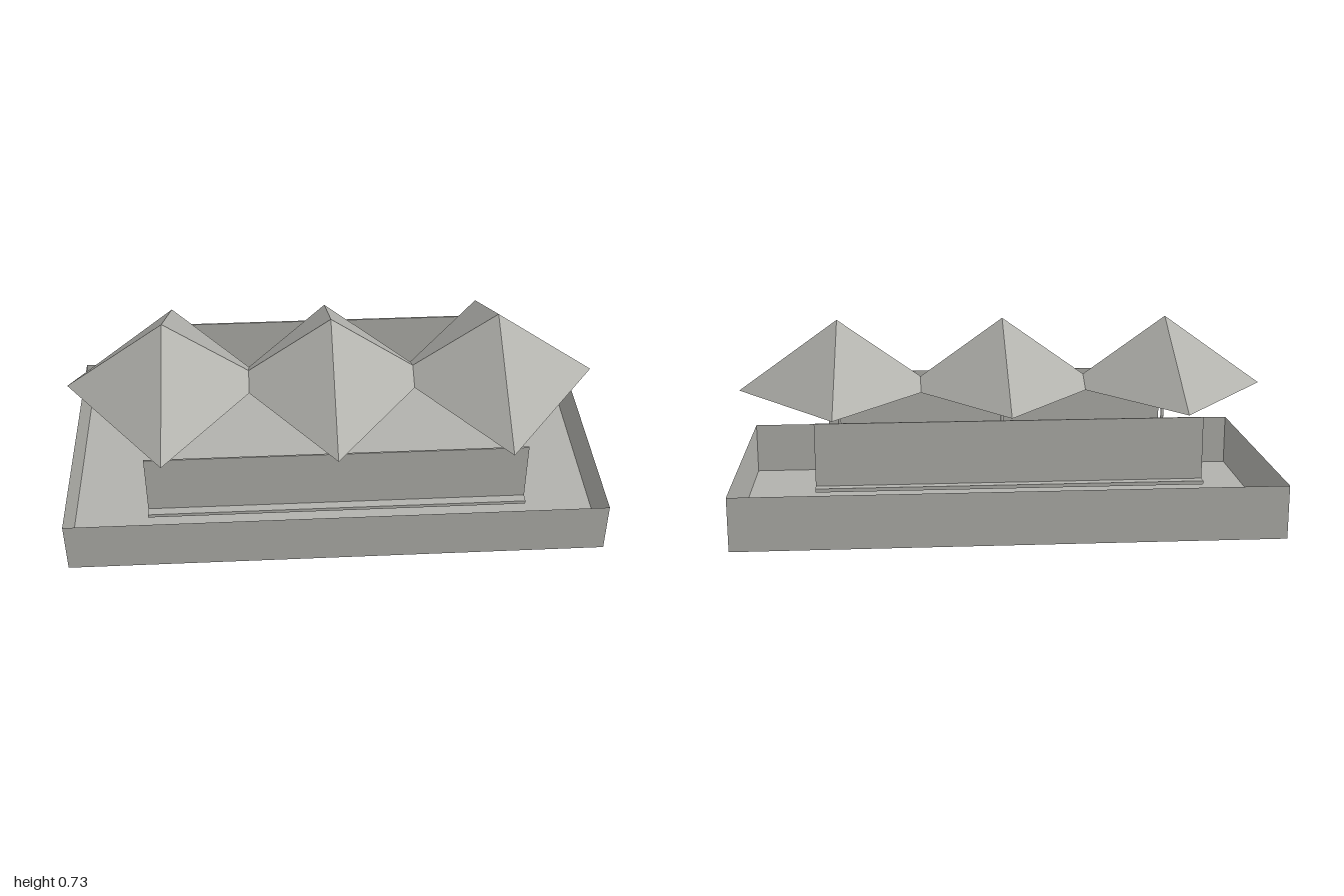
import * as THREE from 'three';

export function createModel() {
  const model = new THREE.Group();
  model.name = 'canopyTerrace';

  const concrete = new THREE.MeshStandardMaterial({ color: 0xb2b2ad, flatShading: true, side: THREE.DoubleSide });
  concrete.name = 'concrete';

  const add = (name, geometry, x, y, z) => {
    const mesh = new THREE.Mesh(geometry, concrete);
    mesh.name = name;
    mesh.position.set(x, y, z);
    model.add(mesh);
    return mesh;
  };

  // Open tray: a thin-walled box without its top face
  const tray = new THREE.BoxGeometry(2, 0.2, 1);
  const top = tray.groups[2];
  tray.setIndex(Array.from(tray.index.array).filter((_, i) => i < top.start || i >= top.start + top.count));
  tray.clearGroups();
  add('baseTray', tray, 0, 0.1, 0);

  // Floor slab level with the tray rim
  add('floorSlab', new THREE.BoxGeometry(1.385, 0.013, 0.922), 0, 0.207, 0);

  // Long thin walls along the front and back
  for (const [name, side] of [['frontWall', 1], ['backWall', -1]]) {
    add(name, new THREE.BoxGeometry(1.385, 0.228, 0.006), 0, 0.327, side * 0.425);
  }

  // Three overlapping pyramid canopies, each on a slim pole
  const roof = new THREE.ConeGeometry(1, 0.267, 4);
  roof.scale(0.375, 1, 0.5);
  const pole = new THREE.CylinderGeometry(0.006, 0.006, 0.255, 12);
  for (const x of [-0.625, 0, 0.625]) {
    add('canopyRoof', roof, x, 0.467 + 0.1335, 0);
    add('canopyPole', pole, x, 0.3405, 0);
  }

  return model;
}
